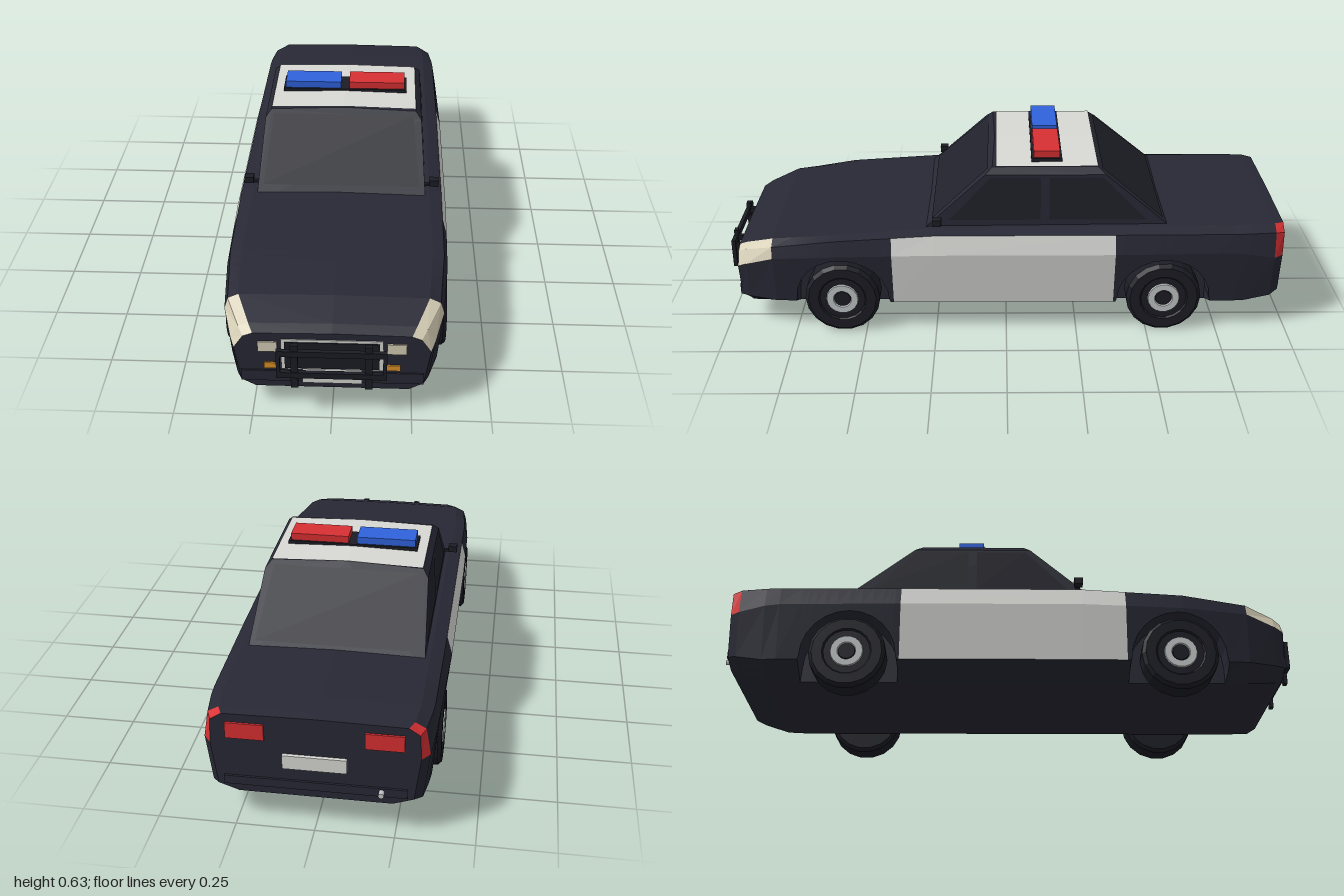
import * as THREE from 'three';
import { ConvexGeometry } from 'three/addons/geometries/ConvexGeometry.js';

const mat = (name, color) => {
  const m = new THREE.MeshStandardMaterial({ color });
  m.name = name;
  return m;
};
const M = {
  body: mat('midnight paint', 0x272834), white: mat('white paint', 0xd8d8d5),
  glass: mat('dark glass', 0x20212a), trim: mat('black trim', 0x1c1d25),
  lamp: mat('cream lamp', 0xd8d0b8), red: mat('red lamp', 0xd83033),
  blue: mat('blue lamp', 0x2f62dc), amber: mat('amber lamp', 0xdc9228),
  rim: mat('silver rim', 0xc4c8c8),
};
const WHEEL_Z = [0.58, -0.557], ARCH_R = 0.165, ARCH_Y = 0.12;

// Flat-shaded mesh from polygons: each is { pts, m }, corners counter-clockwise
function polyMesh(name, polys) {
  const mats = [...new Set(polys.map(p => p.m))], pos = [];
  const g = new THREE.BufferGeometry();
  mats.forEach((m, k) => {
    const start = pos.length / 3;
    for (const { pts } of polys.filter(p => p.m === m))
      for (let i = 1; i < pts.length - 1; i++) pos.push(...pts[0], ...pts[i], ...pts[i + 1]);
    g.addGroup(start, pos.length / 3 - start, k);
  });
  g.setAttribute('position', new THREE.Float32BufferAttribute(pos, 3));
  g.computeVertexNormals();
  const mesh = new THREE.Mesh(g, mats);
  mesh.name = name;
  return mesh;
}
const mirrored = pts => pts.map(([x, y, z]) => [-x, y, z]).reverse();

// Box given by its x, y and z ranges
function box(parent, name, m, [x0, x1], [y0, y1], [z0, z1]) {
  const mesh = new THREE.Mesh(new THREE.BoxGeometry(x1 - x0, y1 - y0, z1 - z0), m);
  mesh.position.set((x0 + x1) / 2, (y0 + y1) / 2, (z0 + z1) / 2);
  mesh.name = name;
  parent.add(mesh);
}
function boxPair(parent, name, m, [x0, x1], y, z) {
  box(parent, name, m, [x0, x1], y, z);
  box(parent, name, m, [-x1, -x0], y, z);
}

// z, crease x/y, shoulder x/y, top edge x/y, sill x/y, floor x/y
const STATIONS = [
  [0.95, 0.305, 0.235, 0.275, 0.28, 0.245, 0.292, 0.285, 0.11, 0.24, 0.085],
  [0.92, 0.318, 0.25, 0.292, 0.296, 0.26, 0.308, 0.30, 0.11, 0.25, 0.068],
  [0.82, 0.347, 0.285, 0.335, 0.325, 0.30, 0.342, 0.33, 0.11, 0.25, 0.065],
  [0.60, 0.365, 0.30, 0.352, 0.355, 0.315, 0.362, 0.345, 0.11, 0.25, 0.065],
  [0.25, 0.372, 0.31, 0.353, 0.377, 0.31, 0.387, 0.35, 0.11, 0.25, 0.065],
  [-0.40, 0.372, 0.31, 0.353, 0.378, 0.31, 0.392, 0.35, 0.11, 0.25, 0.065],
  [-0.80, 0.362, 0.31, 0.35, 0.378, 0.31, 0.395, 0.345, 0.11, 0.25, 0.065],
  [-0.85, 0.36, 0.305, 0.347, 0.378, 0.31, 0.396, 0.34, 0.11, 0.25, 0.068],
  [-0.94, 0.35, 0.285, 0.335, 0.376, 0.30, 0.396, 0.33, 0.125, 0.25, 0.098],
  [-0.972, 0.325, 0.285, 0.32, 0.37, 0.285, 0.393, 0.305, 0.135, 0.24, 0.112],
];
const lerp = THREE.MathUtils.lerp;

// Half cross-section of the body at z, from floor centre round to top centre
function section(z) {
  let i = 0;
  while (i < STATIONS.length - 2 && STATIONS[i + 1][0] > z) i++;
  const A = STATIONS[i], B = STATIONS[i + 1], t = (A[0] - z) / (A[0] - B[0]);
  const [, cx, cy, hx, hy, tx, ty, sx, sy, fx, fy] = A.map((v, k) => lerp(v, B[k], t));
  let skirt = [[(sx + fx) / 2, (sy + fy) / 2], [sx, sy]];
  const dz = Math.min(...WHEEL_Z.map(w => Math.abs(z - w)));
  if (dz <= ARCH_R + 1e-6) {  // wheel well: inner wall, then arch edge
    const a = ARCH_Y + Math.sqrt(Math.max(0, ARCH_R ** 2 - dz ** 2));
    skirt = [[fx, a], [lerp(sx, cx, (a - sy) / (cy - sy)), a]];
  }
  return [[0, fy], [fx, fy], ...skirt, [cx, cy], [hx, hy], [tx, ty], [0, ty + 0.004]]
    .map(([x, y]) => [x, y, z]);
}

function buildBody() {
  const zs = STATIONS.map(s => s[0]).concat([0.4, -0.38]);
  for (const w of WHEEL_Z) {
    for (let k = 0; k <= 12; k++) zs.push(w + ARCH_R * Math.cos(Math.PI * k / 12));
    zs.push(w + ARCH_R + 0.004, w - ARCH_R - 0.004);
  }
  zs.sort((a, b) => b - a);
  const cols = zs.map(section), polys = [];
  const add = (m, pts) => polys.push({ m, pts }, { m, pts: mirrored(pts) });
  for (let i = 0; i < cols.length - 1; i++) {
    const A = cols[i], B = cols[i + 1], z = (zs[i] + zs[i + 1]) / 2;
    for (let j = 0; j < 7; j++) {
      let m = M.body;
      if ((j === 3 || j === 4) && z < 0.4 && z > -0.38) m = M.white;  // door panels
      if (j === 4 || j === 5) {
        if (z > 0.82) m = M.lamp;   // corner headlights
        if (z < -0.94) m = M.red;   // corner tail lights
      }
      add(m, [A[j], B[j], B[j + 1], A[j + 1]]);
    }
  }
  add(M.body, cols[0]);
  add(M.body, [...cols[cols.length - 1]].reverse());
  return polyMesh('body', polys);
}

function buildCabin(parent) {
  const front = y => 0.28 - (y - 0.385) * 1.093, rear = y => -0.56 + (y - 0.395) * 1.2;
  const pts = [];
  for (const [x, y] of [[0.297, 0.36], [0.28, 0.575], [0.26, 0.597], [0, 0.604]])
    for (const s of [-1, 1])
      pts.push(new THREE.Vector3(s * x, y, front(y)), new THREE.Vector3(s * x, y, rear(y)));
  const hull = new THREE.Mesh(new ConvexGeometry(pts), M.body);
  hull.name = 'cabin';
  parent.add(hull);

  // White roof skin
  const roof = [[0.26, 0.6, 0.035], [0.26, 0.6, -0.318], [0, 0.607, -0.316], [0, 0.607, 0.035]];
  parent.add(polyMesh('roofPanel', [roof, mirrored(roof)].map(p => ({ m: M.white, pts: p }))));

  // Windscreen, rear window and side windows
  const pane = (f, d) => [[-0.275, 0.405], [0.275, 0.405], [0.25, 0.585], [-0.25, 0.585]]
    .map(([x, y]) => [x, y + 0.002, f(y) + d]);
  const side = p => p.map(([z, y]) => [0.295 - (y - 0.36) * 0.079 + 0.004, y, z]);
  const panes = [pane(front, 0.002), pane(rear, -0.002).reverse()];
  for (const p of [
    [[0.2, 0.41], [-0.12, 0.41], [-0.12, 0.565], [0.055, 0.565]],
    [[-0.15, 0.41], [-0.49, 0.41], [-0.335, 0.565], [-0.15, 0.565]],
  ]) panes.push(side(p), mirrored(side(p)));
  parent.add(polyMesh('windows', panes.map(p => ({ m: M.glass, pts: p }))));
}

// Turned part along x, open or closed, with faceted sides
function turned(name, m, profile) {
  const g = new THREE.LatheGeometry(profile.map(p => new THREE.Vector2(...p)), 18).toNonIndexed();
  g.computeVertexNormals();
  const mesh = new THREE.Mesh(g, m);
  mesh.rotation.z = -Math.PI / 2;
  mesh.name = name;
  return mesh;
}
function buildWheel(side, z) {
  const w = new THREE.Group();
  w.name = 'wheel';
  w.add(
    turned('tyre', M.trim, [[0, 0.27], [0.12, 0.27], [0.132, 0.282], [0.132, 0.353], [0.12, 0.365],
      [0.085, 0.365], [0.08, 0.36], [0, 0.36]]),
    turned('rim', M.rim, [[0.058, 0.355], [0.055, 0.367], [0.032, 0.367], [0.03, 0.36]]),
    turned('hub', M.trim, [[0.03, 0.358], [0.028, 0.364], [0, 0.364]]));
  w.position.set(0, 0.133, z);
  w.rotation.y = side > 0 ? 0 : Math.PI;
  return w;
}

export function createModel() {
  const car = new THREE.Group();
  car.name = 'patrolCar';
  car.add(buildBody());
  buildCabin(car);
  for (const z of WHEEL_Z) for (const s of [1, -1]) car.add(buildWheel(s, z));

  // Nose: grille, lamps, bumper and number plate
  box(car, 'grilleFrame', M.white, [-0.158, 0.158], [0.157, 0.272], [0.945, 0.953]);
  box(car, 'grille', M.trim, [-0.147, 0.147], [0.163, 0.263], [0.947, 0.956]);
  boxPair(car, 'frontLamp', M.lamp, [0.17, 0.23], [0.225, 0.262], [0.946, 0.955]);
  boxPair(car, 'indicator', M.amber, [0.17, 0.212], [0.16, 0.181], [0.946, 0.955]);
  box(car, 'frontBumper', M.body, [-0.285, 0.285], [0.11, 0.15], [0.94, 0.955]);
  box(car, 'frontPlate', M.white, [-0.093, 0.093], [0.11, 0.157], [0.952, 0.961]);

  // Push bar
  const bar = new THREE.Group();
  bar.name = 'pushBar';
  boxPair(bar, 'upright', M.trim, [0.103, 0.126], [0.12, 0.284], [0.983, 0.997]);
  for (const y of [0.16, 0.242]) {
    box(bar, 'crossBar', M.trim, [-0.17, 0.17], [y, y + 0.021], [0.986, 1]);
    boxPair(bar, 'strut', M.trim, [0.106, 0.122], [y, y + 0.02], [0.94, 0.986]);
  }
  boxPair(bar, 'endPost', M.trim, [0.158, 0.17], [0.16, 0.263], [0.986, 1]);
  car.add(bar);

  // Tail: lamps, bumper, number plate and exhaust
  boxPair(car, 'tailLamp', M.red, [0.155, 0.275], [0.31, 0.365], [-0.979, -0.97]);
  box(car, 'rearPlate', M.white, [-0.1, 0.1], [0.217, 0.265], [-0.984, -0.968]);
  box(car, 'rearBumper', M.body, [-0.285, 0.285], [0.14, 0.17], [-0.979, -0.96]);
  const pipe = new THREE.Mesh(new THREE.CylinderGeometry(0.009, 0.009, 0.06, 10), M.rim);
  pipe.rotation.x = Math.PI / 2;
  pipe.position.set(-0.207, 0.157, -0.97);
  pipe.name = 'exhaust';
  car.add(pipe);

  // Door mirrors
  boxPair(car, 'mirrorArm', M.trim, [0.28, 0.318], [0.405, 0.413], [0.232, 0.247]);
  boxPair(car, 'mirror', M.trim, [0.31, 0.342], [0.407, 0.43], [0.225, 0.255]);

  // Roof light bar
  box(car, 'lightBarBase', M.trim, [-0.227, 0.227], [0.6, 0.613], [-0.195, -0.088]);
  box(car, 'redBeacon', M.red, [0.015, 0.219], [0.613, 0.638], [-0.187, -0.096]);
  box(car, 'blueBeacon', M.blue, [-0.219, -0.015], [0.613, 0.638], [-0.187, -0.096]);
  return car;
}
